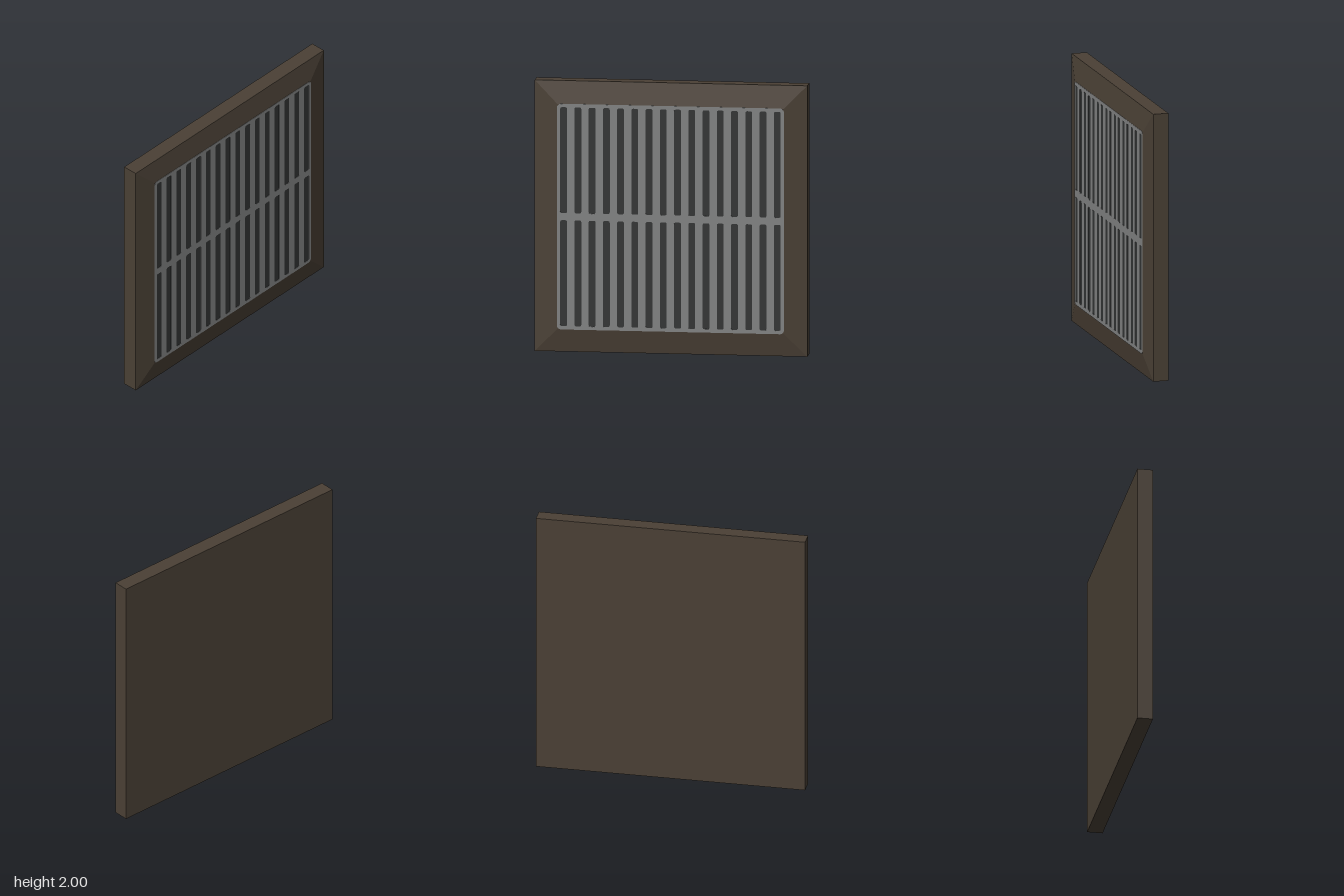
import * as THREE from 'three';

const frameMat = new THREE.MeshStandardMaterial({ color: 0x4a4035 });
frameMat.name = 'dark bronze';
const grateMat = new THREE.MeshStandardMaterial({ color: 0x828383 });
grateMat.name = 'grey metal';
const slotMat = new THREE.MeshStandardMaterial({ color: 0x323434 });
slotMat.name = 'slot shadow';

// Traces a rounded rectangle centred on (cx, cy)
function roundedRect(path, cx, cy, w, h, r) {
  const x0 = cx - w / 2, x1 = cx + w / 2, y0 = cy - h / 2, y1 = cy + h / 2;
  path.moveTo(x0 + r, y0);
  path.lineTo(x1 - r, y0);
  path.absarc(x1 - r, y0 + r, r, -Math.PI / 2, 0);
  path.lineTo(x1, y1 - r);
  path.absarc(x1 - r, y1 - r, r, 0, Math.PI / 2);
  path.lineTo(x0 + r, y1);
  path.absarc(x0 + r, y1 - r, r, Math.PI / 2, Math.PI);
  path.lineTo(x0, y0 + r);
  path.absarc(x0 + r, y0 + r, r, Math.PI, Math.PI * 1.5);
  return path;
}

// Square body: straight sides, then a shallow bevel up to the grate
function bodyGeometry() {
  const rings = [[1, -0.0725], [1, 0.042], [0.83, 0.0705]];
  const ring = ([s, z]) => [[-s, -s, z], [s, -s, z], [s, s, z], [-s, s, z]];
  const pos = [];
  const quad = (a, b, c, d) => pos.push(...a, ...b, ...c, ...a, ...c, ...d);
  for (let i = 0; i < rings.length - 1; i++) {
    const lo = ring(rings[i]), hi = ring(rings[i + 1]);
    for (let k = 0; k < 4; k++) {
      const n = (k + 1) % 4;
      quad(lo[k], lo[n], hi[n], hi[k]);
    }
  }
  quad(...ring(rings[0]).reverse());
  quad(...ring(rings[2]));
  const geo = new THREE.BufferGeometry();
  geo.setAttribute('position', new THREE.Float32BufferAttribute(pos, 3));
  geo.computeVertexNormals();
  return geo;
}

export function createModel() {
  const group = new THREE.Group();
  group.name = 'ventGrille';

  const add = (name, geo, mat, z) => {
    const mesh = new THREE.Mesh(geo, mat);
    mesh.name = name;
    mesh.position.set(0, 1, z);
    group.add(mesh);
  };

  add('frame', bodyGeometry(), frameMat, 0);

  // Dark backing seen through the slots
  add('slotBacking', new THREE.PlaneGeometry(1.64, 1.64), slotMat, 0.0712);

  // Grate plate with two rows of sixteen slots
  const plate = roundedRect(new THREE.Shape(), 0, 0, 1.666, 1.666, 0.03);
  for (const cy of [-0.417, 0.417]) {
    for (let i = 0; i < 16; i++) {
      const cx = (i - 7.5) * 0.1045;
      plate.holes.push(roundedRect(new THREE.Path(), cx, cy, 0.05, 0.782, 0.012));
    }
  }
  const grate = new THREE.ExtrudeGeometry(plate, { depth: 0.002, bevelEnabled: false, curveSegments: 4 });
  add('grate', grate, grateMat, 0.0707);

  return group;
}
